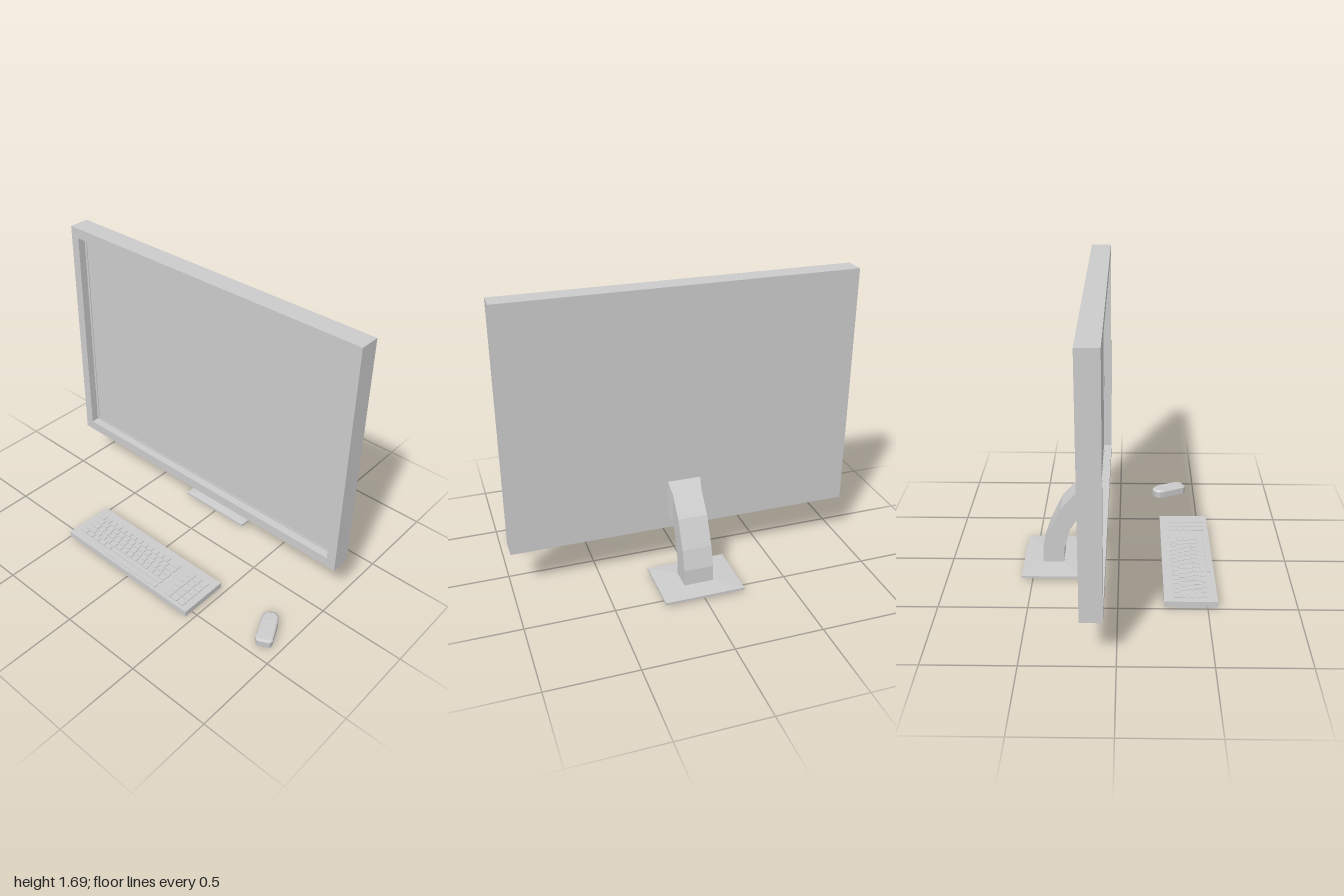
import * as THREE from 'three';
import { ConvexGeometry } from 'three/addons/geometries/ConvexGeometry.js';

const material = new THREE.MeshStandardMaterial({ color: 0xcccccc, flatShading: true });

function add(parent, name, geometry, x = 0, y = 0, z = 0) {
  const mesh = new THREE.Mesh(geometry, material);
  mesh.name = name;
  mesh.position.set(x, y, z);
  parent.add(mesh);
  return mesh;
}

function group(parent, name) {
  const g = new THREE.Group();
  g.name = name;
  parent.add(g);
  return g;
}

// Box given by its lower and upper corners
function addBox(parent, name, [x0, y0, z0], [x1, y1, z1]) {
  return add(parent, name, new THREE.BoxGeometry(x1 - x0, y1 - y0, z1 - z0),
    (x0 + x1) / 2, (y0 + y1) / 2, (z0 + z1) / 2);
}

function rectangle(target, x0, y0, x1, y1) {
  target.moveTo(x0, y0);
  target.lineTo(x1, y0);
  target.lineTo(x1, y1);
  target.lineTo(x0, y1);
  target.closePath();
  return target;
}

// Corners of a horizontal rectangle at height y
const corners = (y, x0, z0, x1, z1) =>
  [[x0, z0], [x1, z0], [x1, z1], [x0, z1]].map(([x, z]) => new THREE.Vector3(x, y, z));

function buildMonitor(parent) {
  const monitor = group(parent, 'monitor');

  // Frame around a recessed screen
  const frame = rectangle(new THREE.Shape(), -1, 0.265, 1, 1.69);
  frame.holes.push(rectangle(new THREE.Path(), -0.945, 0.325, 0.945, 1.63));
  add(monitor, 'bezel', new THREE.ExtrudeGeometry(frame, { depth: 0.05, bevelEnabled: false }), 0, 0, -0.115);
  addBox(monitor, 'screenAndBack', [-1, 0.265, -0.185], [1, 1.69, -0.115]);

  // Thin inner lip of the screen
  const lip = rectangle(new THREE.Shape(), -0.945, 0.325, 0.945, 1.63);
  lip.holes.push(rectangle(new THREE.Path(), -0.93, 0.335, 0.93, 1.62));
  add(monitor, 'screenLip', new THREE.ExtrudeGeometry(lip, { depth: 0.004, bevelEnabled: false }), 0, 0, -0.115);
}

function buildStand(parent) {
  const stand = group(parent, 'stand');

  // Curved neck: side profile as (distance behind, height)
  const profile = [[0.185, 0.35], [0.24, 0.328], [0.286, 0.257], [0.32, 0.13], [0.326, 0.03],
    [0.45, 0.03], [0.446, 0.13], [0.41, 0.243], [0.335, 0.4], [0.24, 0.507], [0.185, 0.562]];
  const shape = new THREE.Shape(profile.map(([d, y]) => new THREE.Vector2(d, y)));
  const neck = new THREE.ExtrudeGeometry(shape, { depth: 0.17, bevelEnabled: false });
  neck.translate(0, 0, -0.085).rotateY(Math.PI / 2);
  // Flare where the neck meets the monitor
  const p = neck.attributes.position;
  for (let i = 0; i < p.count; i++) if (p.getZ(i) > -0.2) p.setX(i, p.getX(i) * 1.12);
  add(stand, 'neck', neck);

  // Foot plate with a slight rise towards the neck
  add(stand, 'foot', new ConvexGeometry([
    ...corners(0.015, -0.23, -0.563, 0.23, -0.213),
    ...corners(0.029, -0.23, -0.563, 0.23, -0.213),
    ...corners(0.037, -0.085, -0.45, 0.085, -0.326),
  ]));
}

function buildKeyboard(parent) {
  const keyboard = group(parent, 'keyboard');
  addBox(keyboard, 'keyboardBody', [-0.493, 0.006, 0.257], [0.465, 0.043, 0.556]);

  const key = (x0, x1, z0, z1) =>
    addBox(keyboard, 'key', [x0 + 0.003, 0.042, z0 + 0.003], [x1 - 0.003, 0.048, z1 - 0.003]);

  // Main rows, each shifted by a wider first key
  const pitch = 0.045, rowDepth = 0.04;
  [0, 0.02, 0.03, 0.04].forEach((shift, row) => {
    const z = 0.31 + row * rowDepth;
    let x = -0.46;
    for (let i = 0; i < 14; i++) {
      const next = i === 13 ? 0.212 : x + pitch + (i === 0 ? shift : 0);
      key(x, next, z, z + rowDepth);
      x = next;
    }
  });

  // Bottom row with space bar
  for (let i = 0; i < 5; i++) key(-0.46 + i * 0.052, -0.408 + i * 0.052, 0.47, 0.505);
  key(-0.2, 0.212, 0.47, 0.502);
  key(-0.2, 0.212, 0.512, 0.542);

  // Number pad
  for (let row = 0; row < 5; row++)
    for (let col = 0; col < 3; col++)
      key(0.275 + col * 0.05, 0.325 + col * 0.05, 0.31 + row * 0.045, 0.355 + row * 0.045);
}

function buildMouse(parent) {
  const mouse = group(parent, 'mouse');
  mouse.position.set(0.867, 0, 0.333);
  mouse.rotation.y = 0.45;

  // Half outline, nose to tail, mirrored and stacked at three heights
  const half = [[0.022, -0.117], [0.044, -0.092], [0.048, -0.06], [0.048, 0.088], [0.036, 0.107]];
  const levels = [[0, 0.97], [0.042, 1], [0.053, 0.84]];
  const points = [];
  for (const [y, s] of levels)
    for (const [x, z] of half)
      for (const side of [-1, 1])
        points.push(new THREE.Vector3(side * x * s, y - (s < 0.9 ? Math.max(0, z) * 0.05 : 0), z * s));
  add(mouse, 'mouseBody', new ConvexGeometry(points));

  // Button seams
  addBox(mouse, 'buttonSeam', [-0.04, 0.05, -0.053], [0.04, 0.054, -0.05]);
  addBox(mouse, 'buttonDivider', [-0.0015, 0.05, -0.096], [0.0015, 0.054, -0.053]);
}

export function createModel() {
  const model = new THREE.Group();
  model.name = 'desktopComputer';
  buildMonitor(model);
  buildStand(model);
  buildKeyboard(model);
  buildMouse(model);
  return model;
}
